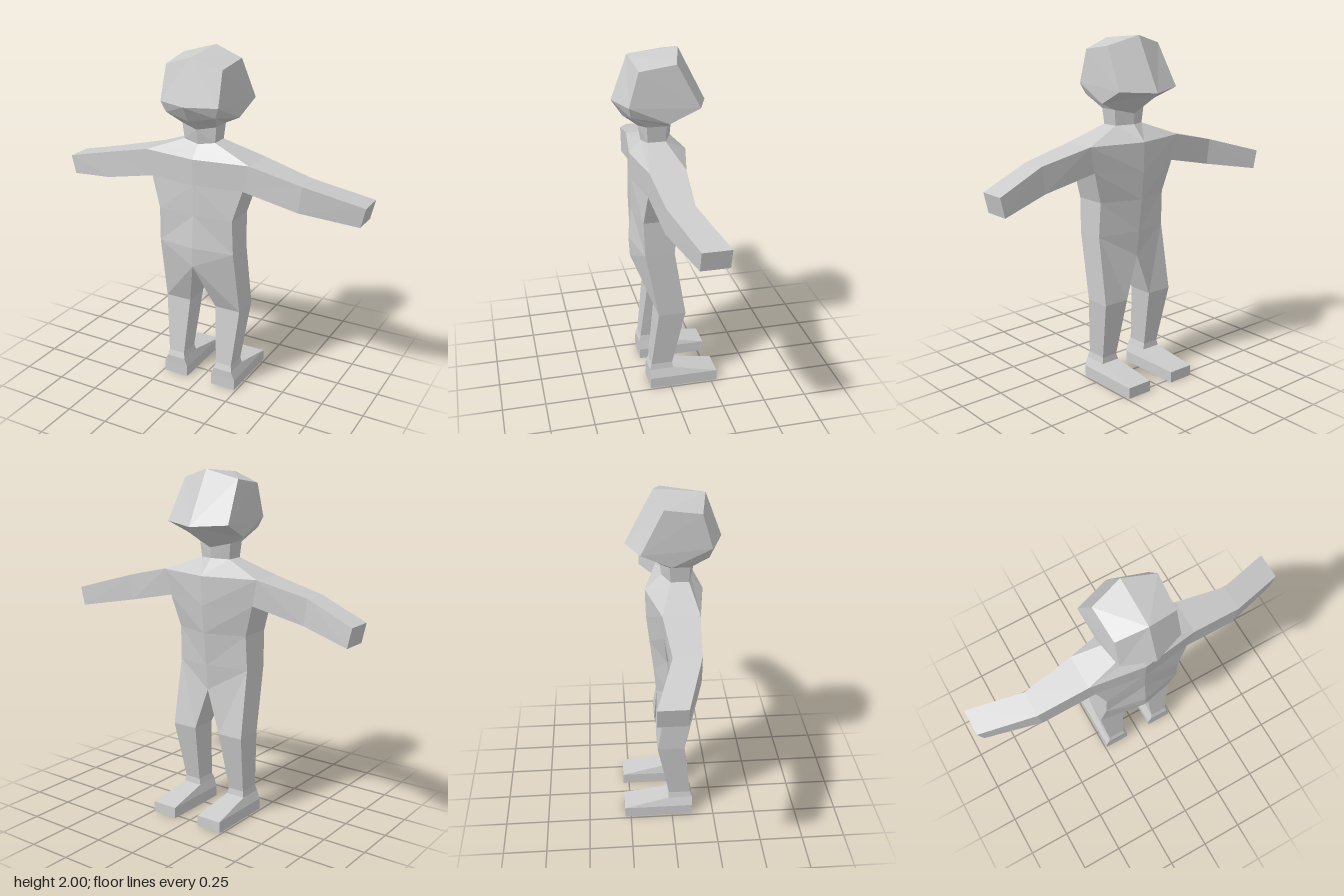
import * as THREE from 'three';

const grey = new THREE.MeshStandardMaterial({ color: 0xcccccc });
grey.name = 'plain grey';

// Joins successive cross-sections with faces; corners run +z, +x, -z as seen from the section before.
function loft(rings, { closed = false, startCap = false, endCap = false } = {}) {
  const tris = [];
  const quad = (a, b, c, d) => tris.push([a, b, c], [a, c, d]);
  for (let r = 0; r < rings.length - 1; r++) {
    const up = rings[r], low = rings[r + 1], n = up.length;
    for (let i = 0; i < (closed ? n : n - 1); i++) {
      const j = (i + 1) % n;
      quad(up[i], low[i], low[j], up[j]);
    }
  }
  if (startCap) quad(...rings[0]);
  if (endCap) quad(...[...rings[rings.length - 1]].reverse());
  return tris;
}

// Flat-shaded mesh from triangles, mirrored to -x when side is -1.
function toGeometryData(tris, side) {
  const out = [];
  const key = (p) => p.join();
  for (const [a, b, c] of tris) {
    if (key(a) === key(b) || key(b) === key(c) || key(a) === key(c)) continue;
    for (const p of side > 0 ? [a, b, c] : [a, c, b]) out.push(p[0] * side, p[1], p[2]);
  }
  return out;
}

function makeMesh(name, tris, sides) {
  const geometry = new THREE.BufferGeometry();
  const data = sides.flatMap((s) => toGeometryData(tris, s));
  geometry.setAttribute('position', new THREE.Float32BufferAttribute(data, 3));
  geometry.computeVertexNormals();
  const mesh = new THREE.Mesh(geometry, grey);
  mesh.name = name;
  return mesh;
}

// Half section: middle +z, side +z, side -z, middle -z.
const neckTop = [[0, 1.575, 0.135], [0.105, 1.595, 0.105], [0.105, 1.595, -0.005], [0, 1.57, -0.05]];
const neckBase = [[0, 1.49, 0.12], [0.095, 1.505, 0.1], [0.095, 1.505, 0], [0, 1.51, -0.045]];
const shoulder = [[0, 1.42, 0.185], [0.32, 1.42, 0.14], [0.32, 1.42, -0.06], [0, 1.42, -0.135]];
const armpit = [[0, 1.27, 0.18], [0.285, 1.27, 0.14], [0.285, 1.27, -0.05], [0, 1.25, -0.13]];
const waist = [[0, 1.09, 0.178], [0.23, 1.09, 0.155], [0.23, 1.09, -0.03], [0, 1.09, -0.112]];
const hip = [[0, 0.9, 0.197], [0.235, 0.89, 0.147], [0.235, 0.89, -0.02], [0, 0.9, -0.09]];
const crotch = [[0, 0.785, 0.19], hip[1], hip[2], [0, 0.75, -0.075]];

// Rectangular leg section at one height.
const box = (y, inner, outer, front, back) =>
  [[inner, y, front], [outer, y, front], [outer, y, back], [inner, y, back]];

// Arm section: lower and upper edge, both running in z.
const armSection = (xLow, yLow, xTop, yTop, front, back) =>
  [[xLow, yLow, front], [xTop, yTop, front], [xTop, yTop, back], [xLow, yLow, back]];

export function createModel() {
  const model = new THREE.Group();
  model.name = 'figure';

  // Head: faceted, with a ridge down the middle
  const headBack = [0, 1.7, -0.24];
  const headRings = [
    [[0, 1.975, 0.19], [0.17, 1.92, 0.16], [0.18, 1.95, -0.04], [0, 2, -0.085]],
    [[0, 1.73, 0.28], [0.175, 1.73, 0.215], [0.205, 1.715, -0.165], headBack],
    [[0, 1.64, 0.22], [0.15, 1.67, 0.2], [0.19, 1.635, 0], headBack],
    neckTop,
  ];
  model.add(makeMesh('head', loft(headRings, { startCap: true }), [1, -1]));

  // Neck and torso
  model.add(makeMesh('neck', loft([neckTop, neckBase]), [1, -1]));
  model.add(makeMesh('torso', loft([neckBase, shoulder, armpit, waist, hip, crotch]), [1, -1]));

  // Limbs, once per side
  const armRings = [
    [armpit[1], shoulder[1], shoulder[2], armpit[2]],
    armSection(0.6, 1.2, 0.62, 1.35, 0.12, -0.03),
    armSection(0.915, 1.145, 0.94, 1.255, 0.025, -0.13),
  ];
  const ankle = box(0.15, 0.11, 0.21, 0.11, -0.015);
  const knee = box(0.5, 0.085, 0.242, 0.072, -0.085);
  const legRings = [[crotch[0], hip[1], hip[2], crotch[3]], knee, ankle];
  const footRings = [
    ankle,
    box(0.115, 0.1, 0.217, 0.122, -0.02),
    box(0.065, 0.083, 0.238, 0.12, -0.285),
    box(0, 0.083, 0.238, 0.12, -0.285),
  ];
  for (const [label, side] of [['left', 1], ['right', -1]]) {
    model.add(makeMesh(label + 'Arm', loft(armRings, { closed: true, endCap: true }), [side]));
    model.add(makeMesh(label + 'Leg', loft(legRings, { closed: true }), [side]));
    model.add(makeMesh(label + 'Foot', loft(footRings, { closed: true, endCap: true }), [side]));
  }
  return model;
}
